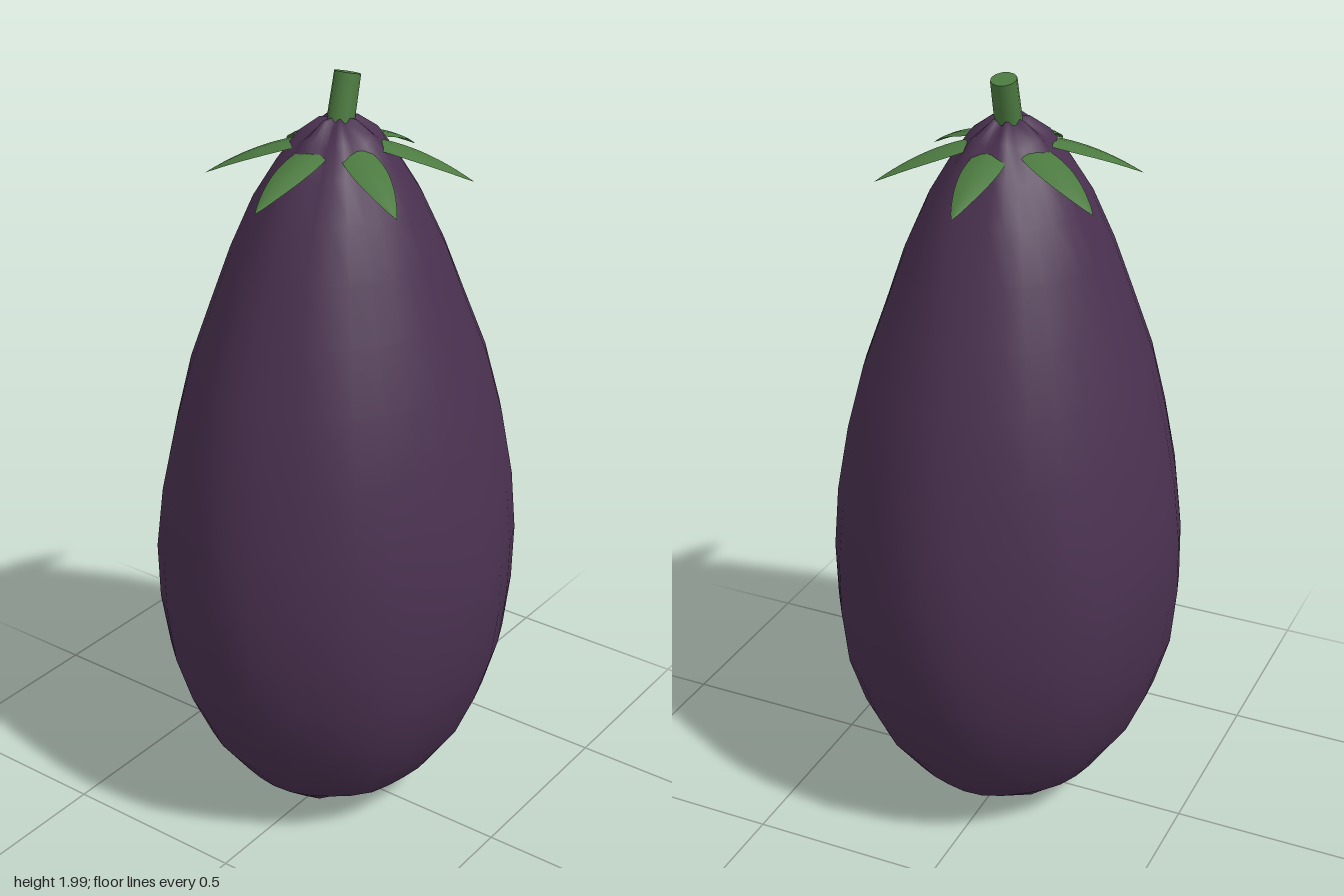
import * as THREE from 'three';
import { mergeVertices } from 'three/addons/utils/BufferGeometryUtils.js';

const skin = new THREE.MeshStandardMaterial({ name: 'aubergine purple', color: 0x4a3150 });
const green = new THREE.MeshStandardMaterial({ name: 'leaf green', color: 0x4c7a40 });
const leafGreen = new THREE.MeshStandardMaterial({ name: 'sepal green', color: 0x4c7a40, side: THREE.DoubleSide });

// Fruit: an oval lathe with slight dents, and puckers towards both poles
function fruitGeometry() {
  const profile = [
    [0, 0.012], [0.1, 0.025], [0.2, 0.065], [0.295, 0.135], [0.375, 0.24], [0.432, 0.36],
    [0.475, 0.49], [0.494, 0.64], [0.495, 0.79], [0.476, 0.95], [0.44, 1.12], [0.395, 1.28],
    [0.335, 1.43], [0.28, 1.57], [0.22, 1.69], [0.16, 1.78], [0.105, 1.85], [0.05, 1.885], [0, 1.895],
  ].map(([r, y]) => new THREE.Vector2(r, y));
  let geo = new THREE.LatheGeometry(profile, 32);
  geo.deleteAttribute('uv');
  geo.deleteAttribute('normal');
  const p = geo.attributes.position;
  for (let i = 0; i < p.count; i++) {
    const x = p.getX(i), y = p.getY(i), z = p.getZ(i);
    const r = Math.hypot(x, z), a = Math.atan2(x, z);
    const dent = 1 + 0.009 * Math.sin(8 * a + 2 * y) + 0.006 * Math.sin(5 * a - 7 * y) - 0.009;
    const pucker = r > 0.001 && r < 0.23 ? 0.009 * Math.sin(7 * a + 1) : 0;
    p.setXYZ(i, x * dent, y + pucker, z * dent * 0.905);
  }
  geo = mergeVertices(geo, 1e-4);
  geo.computeVertexNormals();
  return geo;
}

// Sepal: a pointed blade that arches outwards, with a raised midrib
function sepalGeometry() {
  const rows = 14, cols = 4;
  const geo = new THREE.PlaneGeometry(1, 1, cols, rows);
  const p = geo.attributes.position;
  for (let i = 0; i < p.count; i++) {
    const t = 0.5 - p.getY(i), s = p.getX(i) * 2;
    const r = 0.02 + 0.303 * t;
    const half = 0.046 * Math.pow(Math.sin(Math.PI * Math.pow(t * 0.96 + 0.04, 0.85)), 0.85) || 0;
    const y = 1.847 - 0.104 * Math.pow(r / 0.323, 2);
    p.setXYZ(i, s * half, y - 0.012 * s * s * half / 0.046, r);
  }
  geo.computeVertexNormals();
  // Rows run outwards, so the blade already faces up
  return geo;
}

export function createModel() {
  const model = new THREE.Group();
  model.name = 'aubergine';

  const fruit = new THREE.Mesh(fruitGeometry(), skin);
  fruit.name = 'fruit';
  model.add(fruit);

  // Six sepals, starting on the x axis
  const calyx = new THREE.Group();
  calyx.name = 'calyx';
  const blade = sepalGeometry();
  for (let i = 0; i < 6; i++) {
    const sepal = new THREE.Mesh(blade, leafGreen);
    sepal.name = 'sepal';
    sepal.rotation.y = Math.PI / 2 + (i * Math.PI) / 3;
    calyx.add(sepal);
  }
  model.add(calyx);

  // Stem leaning to the side
  const stem = new THREE.Mesh(new THREE.CylinderGeometry(0.032, 0.034, 0.15, 12), green);
  stem.name = 'stem';
  stem.position.set(0.016, 1.919, 0);
  stem.rotation.z = -0.25;
  model.add(stem);

  return model;
}
